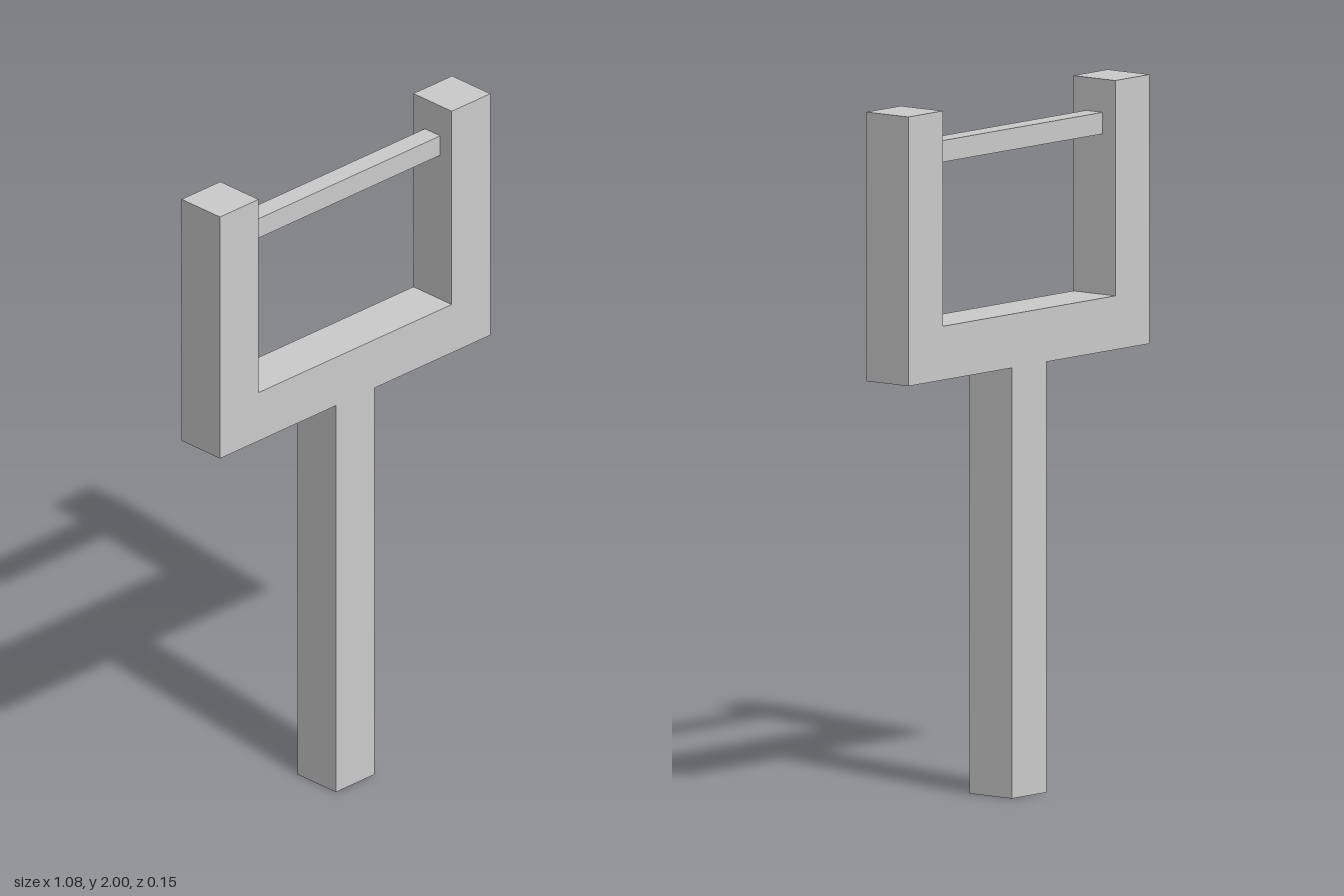
import * as THREE from 'three';

export function createModel() {
  const model = new THREE.Group();
  const material = new THREE.MeshStandardMaterial({ color: 0xcccccc, flatShading: true });

  const u = 2 / 13;          // thickness of the square timber
  const half = u / 2;
  const outer = 3.5 * u;     // outside of the prongs
  const inner = 2.5 * u;     // inside of the prongs
  const forkY = 8 * u;       // underside of the fork

  // Handle, crosspiece and prongs: one Y-shaped outline, mirrored about x = 0
  const side = [[half, 0], [half, forkY], [outer, forkY], [outer, 2], [inner, 2], [inner, forkY + u]];
  const mirrored = side.map(([x, y]) => [-x, y]).reverse();
  const outline = new THREE.Shape([...side, ...mirrored].map(([x, y]) => new THREE.Vector2(x, y)));
  const frameGeometry = new THREE.ExtrudeGeometry(outline, { depth: u, bevelEnabled: false });
  frameGeometry.translate(0, 0, -half);
  const frame = new THREE.Mesh(frameGeometry, material);
  frame.name = 'forkedFrame';
  model.add(frame);

  // Thin bar stretched between the prongs
  const band = new THREE.Mesh(new THREE.BoxGeometry(2 * inner, 0.4 * u, 0.4 * u), material);
  band.name = 'band';
  band.position.y = 1.874;
  model.add(band);

  return model;
}
